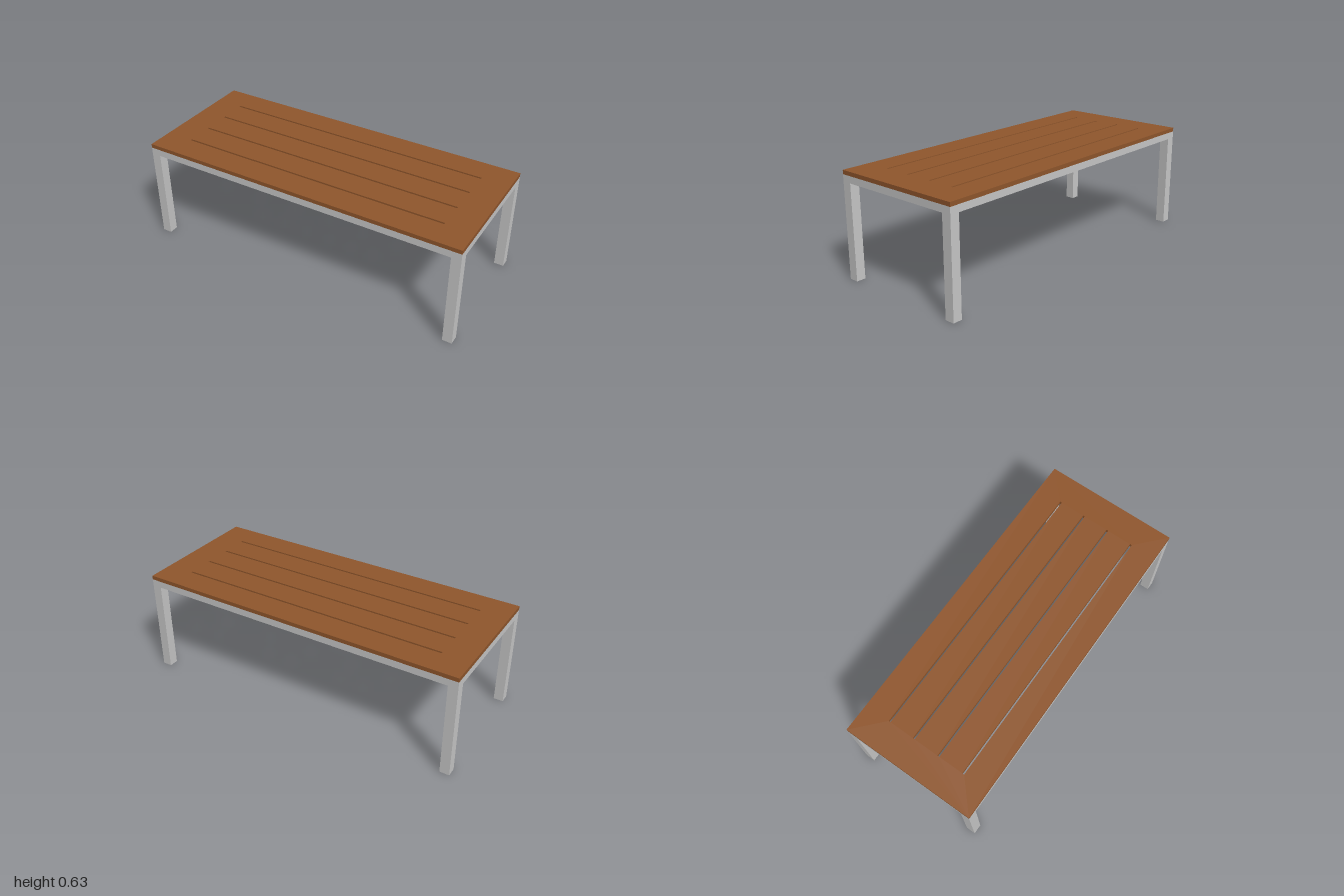
import * as THREE from 'three';

const W = 1, D = 0.41;            // half width and half depth
const LEG = 0.057, RAIL = 0.041;  // section sizes
const FRAME_TOP = 0.608, TOP = 0.632;

export function createModel() {
  const group = new THREE.Group();
  const wood = new THREE.MeshStandardMaterial({ color: 0x90562c });
  wood.name = 'brown wood';
  const metal = new THREE.MeshStandardMaterial({ color: 0xc8c8c8 });
  metal.name = 'light grey metal';

  const add = (name, geometry, material, x, y, z) => {
    const mesh = new THREE.Mesh(geometry, material);
    mesh.name = name;
    mesh.position.set(x, y, z);
    group.add(mesh);
    return mesh;
  };

  // Table top with four long slots cut through it
  const board = new THREE.Shape([
    new THREE.Vector2(-W, -D), new THREE.Vector2(W, -D),
    new THREE.Vector2(W, D), new THREE.Vector2(-W, D),
  ]);
  const slotX = 0.83, slotHalf = 0.006;
  for (const z of [-0.248, -0.083, 0.083, 0.248]) {
    board.holes.push(new THREE.Path([
      new THREE.Vector2(-slotX, z - slotHalf), new THREE.Vector2(-slotX, z + slotHalf),
      new THREE.Vector2(slotX, z + slotHalf), new THREE.Vector2(slotX, z - slotHalf),
    ]));
  }
  const topGeometry = new THREE.ExtrudeGeometry(board, { depth: TOP - FRAME_TOP, bevelEnabled: false });
  topGeometry.rotateX(-Math.PI / 2);
  add('tableTop', topGeometry, wood, 0, FRAME_TOP, 0);

  // Square legs flush with the corners
  for (const sx of [-1, 1]) {
    for (const sz of [-1, 1]) {
      add(`${sz > 0 ? 'front' : 'back'}${sx > 0 ? 'Left' : 'Right'}Leg`,
        new THREE.BoxGeometry(LEG, FRAME_TOP, LEG), metal,
        sx * (W - LEG / 2), FRAME_TOP / 2, sz * (D - LEG / 2));
    }
  }

  // Rails between the legs, flush with their outer faces
  const railY = FRAME_TOP - RAIL / 2;
  for (const s of [-1, 1]) {
    add(s > 0 ? 'frontRail' : 'backRail',
      new THREE.BoxGeometry(2 * (W - LEG), RAIL, RAIL), metal, 0, railY, s * (D - RAIL / 2));
    add(s > 0 ? 'leftRail' : 'rightRail',
      new THREE.BoxGeometry(RAIL, RAIL, 2 * (D - LEG)), metal, s * (W - RAIL / 2), railY, 0);
  }
  return group;
}
